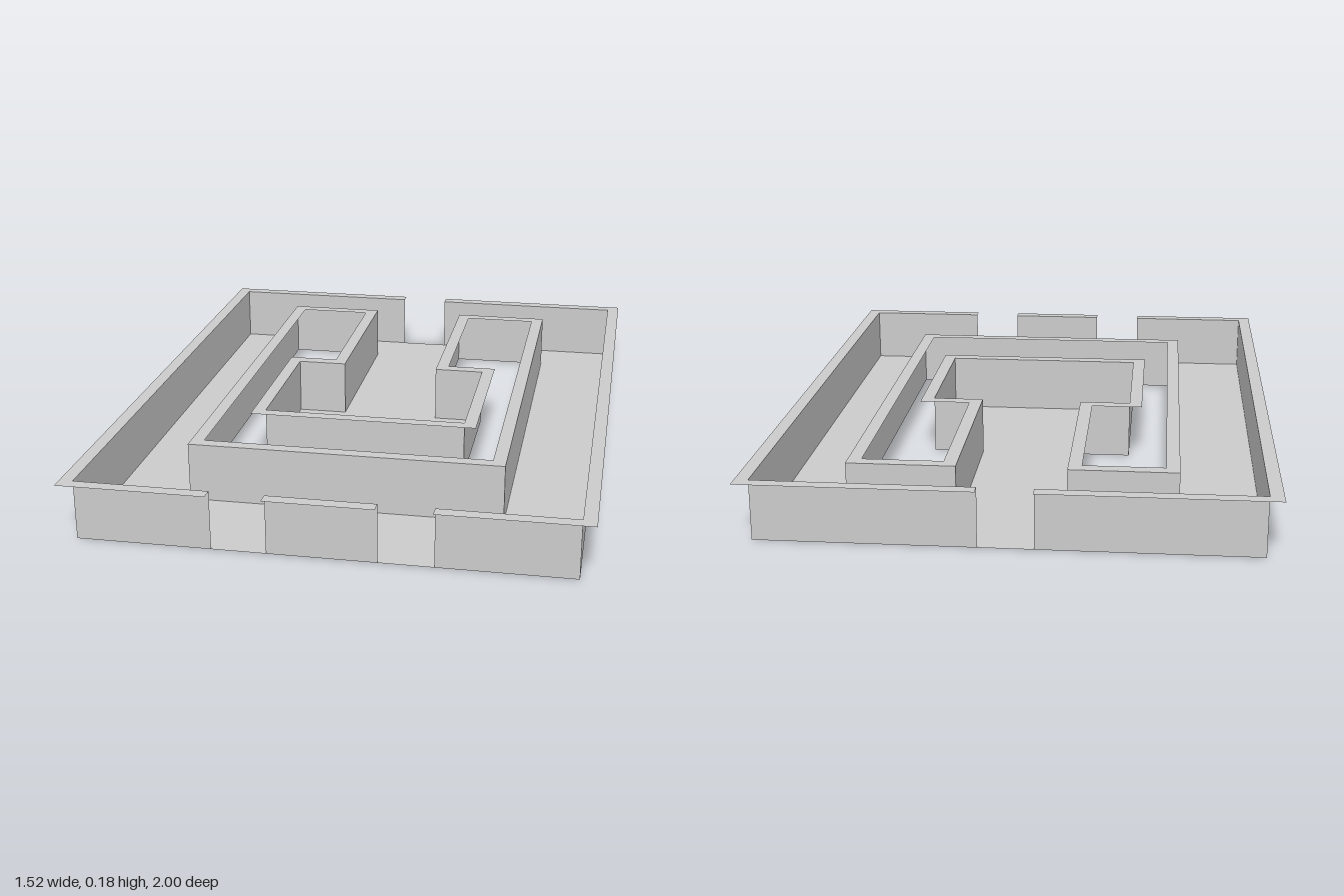
import * as THREE from 'three';

const HEIGHT = 0.18; // wall height
const LIP = 0.04;    // width of the flat lip on top of each wall

const material = new THREE.MeshStandardMaterial({ color: 0xcccccc, flatShading: true, side: THREE.DoubleSide });

function addMesh(group, name, geometry) {
  const mesh = new THREE.Mesh(geometry, material);
  mesh.name = name;
  group.add(mesh);
}

// Separate four-cornered faces, so every edge stays sharp
function quads(faces) {
  const positions = faces.flatMap(([a, b, c, d]) => [a, b, c, a, c, d].flat());
  const geometry = new THREE.BufferGeometry();
  geometry.setAttribute('position', new THREE.Float32BufferAttribute(positions, 3));
  geometry.computeVertexNormals();
  return geometry;
}

// Sheet wall along an axis-aligned [x, z] path, with a mitred lip on one side
function addWall(group, name, path, closed) {
  const n = path.length;
  const count = closed ? n : n - 1;
  const normal = (i) => {
    if (!closed && (i < 0 || i >= count)) return [0, 0];
    const [ax, az] = path[(i + n) % n];
    const [bx, bz] = path[(i + 1 + n) % n];
    return [Math.sign(bz - az), -Math.sign(bx - ax)];
  };
  const lipEdge = path.map(([x, z], i) => {
    const p = normal(i - 1), q = normal(i);
    return [x + LIP * (p[0] + q[0]), z + LIP * (p[1] + q[1])];
  });
  const at = ([x, z], y) => [x, y, z];
  const walls = [], lips = [];
  for (let i = 0; i < count; i++) {
    const j = (i + 1) % n;
    walls.push([at(path[i], 0), at(path[i], HEIGHT), at(path[j], HEIGHT), at(path[j], 0)]);
    lips.push([at(path[i], HEIGHT), at(lipEdge[i], HEIGHT), at(lipEdge[j], HEIGHT), at(path[j], HEIGHT)]);
  }
  addMesh(group, name, quads(walls));
  addMesh(group, name + 'Lip', quads(lips));
}

export function createModel() {
  const group = new THREE.Group();
  group.name = 'tray';

  // U-shaped opening around the central platform and its neck
  const opening = [
    [-0.48, -0.8], [-0.48, 0.64], [0.48, 0.64], [0.48, -0.8],
    [0.16, -0.8], [0.16, -0.16], [0.32, -0.16], [0.32, 0.32],
    [-0.32, 0.32], [-0.32, -0.16], [-0.16, -0.16], [-0.16, -0.8],
  ];

  // Thin floor
  const toVectors = (points) => points.map(([x, z]) => new THREE.Vector2(x, z));
  const floor = new THREE.Shape(toVectors([[-0.72, -0.96], [0.72, -0.96], [0.72, 0.96], [-0.72, 0.96]]));
  floor.holes.push(new THREE.Path(toVectors(opening)));
  addMesh(group, 'floor', new THREE.ShapeGeometry(floor).rotateX(Math.PI / 2));

  // Inner wall around the opening
  addWall(group, 'innerWall', opening, true);

  // Outer walls, with one doorway at the back and two at the front
  const side = [[0.08, -0.96], [0.72, -0.96], [0.72, 0.96], [0.32, 0.96]];
  addWall(group, 'leftWall', side, false);
  addWall(group, 'rightWall', side.map(([x, z]) => [-x, z]).reverse(), false);
  addWall(group, 'frontWall', [[0.16, 0.96], [-0.16, 0.96]], false);

  return group;
}
